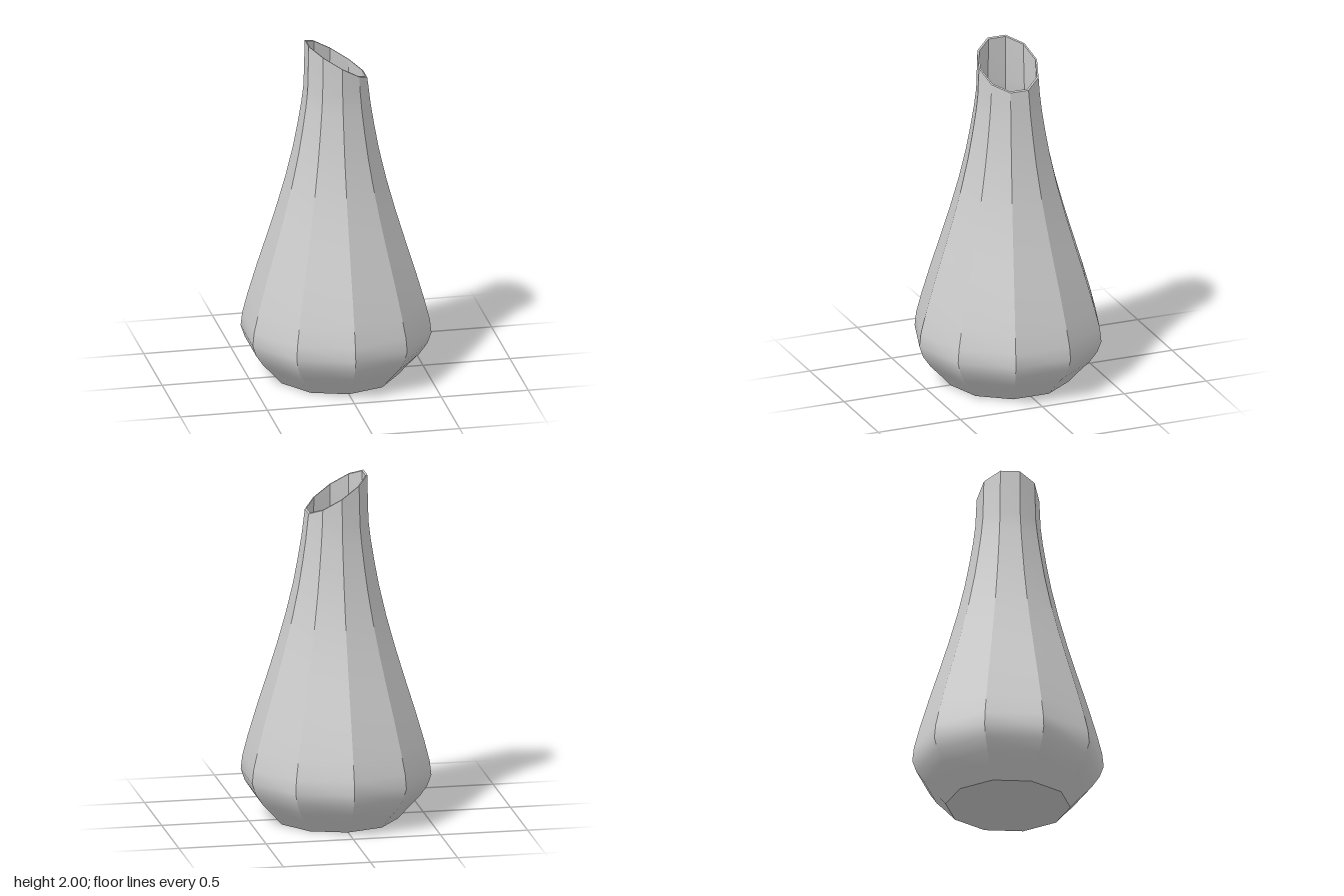
import * as THREE from 'three';
import { mergeGeometries } from 'three/addons/utils/BufferGeometryUtils.js';

const SIDES = 10;
const WALL = 0.01;
const CUT = 1.893; // mean height of the slanted rim

// Outer profile from foot to rim: [radius, height]
const PROFILE = [
  [0.352, 0], [0.41, 0.065], [0.472, 0.13], [0.517, 0.195], [0.54, 0.26], [0.531, 0.34],
  [0.5, 0.46], [0.447, 0.64], [0.39, 0.82], [0.335, 1.0], [0.285, 1.18],
  [0.243, 1.36], [0.217, 1.5], [0.196, 1.63], [0.184, 1.73], [0.177, CUT],
];

// Ten flat-sided strips, each smooth along its length and sharp at its sides
function faceted(profile) {
  const points = profile.map(([r, y]) => new THREE.Vector2(r, y));
  const strips = [];
  for (let i = 0; i < SIDES; i++) {
    const step = (Math.PI * 2) / SIDES;
    const g = new THREE.LatheGeometry(points, 1, i * step, step);
    const p = g.attributes.position;
    // Slant the rim: high on -x, low on +x
    for (let k = 0; k < p.count; k++) {
      if (p.getY(k) > CUT - 0.01) p.setY(k, CUT - 0.63 * p.getX(k));
    }
    g.computeVertexNormals();
    strips.push(g);
  }
  return mergeGeometries(strips);
}

export function createModel() {
  const model = new THREE.Group();
  model.name = 'vase';
  const grey = new THREE.MeshStandardMaterial({ color: 0xcccccc });
  grey.name = 'light grey';

  const inner = PROFILE.map(([r, y], i) => [r - WALL, i === 0 ? WALL : y]).reverse();
  const parts = {
    base: [[0, 0], PROFILE[0]],
    outerWall: PROFILE,
    rim: [PROFILE[PROFILE.length - 1], inner[0]],
    innerWall: inner,
    innerFloor: [inner[inner.length - 1], [0, WALL]],
  };
  for (const [name, profile] of Object.entries(parts)) {
    const mesh = new THREE.Mesh(faceted(profile), grey);
    mesh.name = name;
    model.add(mesh);
  }
  return model;
}
